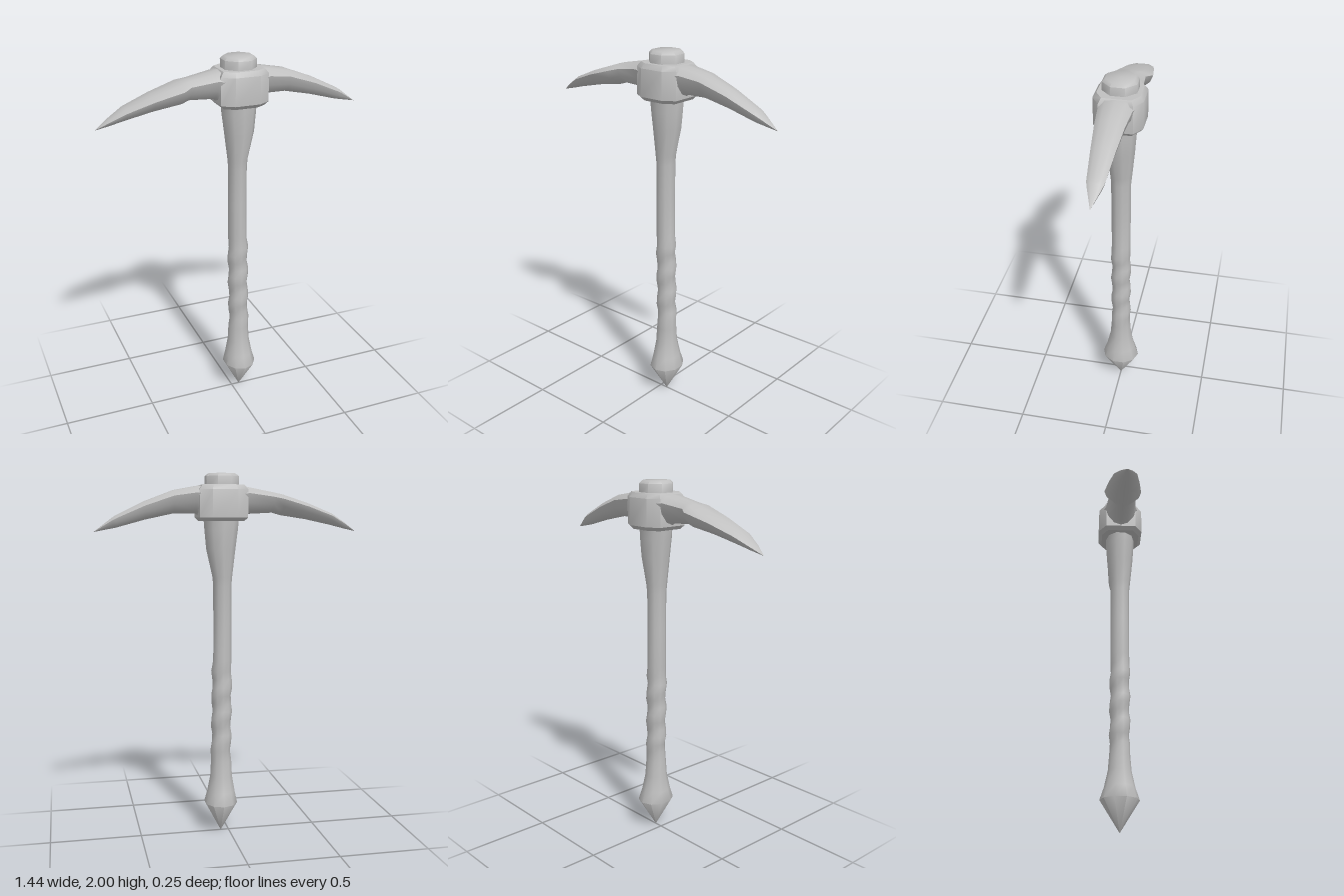
import * as THREE from 'three';
import { toCreasedNormals } from 'three/addons/utils/BufferGeometryUtils.js';

// Skin a list of rings (each an array of Vector3); a ring shrunk to a point closes the end.
function loft(rings, crease) {
  const n = rings[0].length, pos = [];
  const tri = (a, b, c) => {
    const area = b.clone().sub(a).cross(c.clone().sub(a)).length();
    if (area > 1e-9) for (const p of [a, b, c]) pos.push(p.x, p.y, p.z);
  };
  for (let i = 0; i < rings.length - 1; i++) {
    for (let j = 0; j < n; j++) {
      const k = (j + 1) % n;
      tri(rings[i][j], rings[i + 1][j], rings[i][k]);
      tri(rings[i][k], rings[i + 1][j], rings[i + 1][k]);
    }
  }
  const g = new THREE.BufferGeometry();
  g.setAttribute('position', new THREE.Float32BufferAttribute(pos, 3));
  return toCreasedNormals(g, crease);
}

// Round ring at height y, with an optional ripple of the radius
function roundRing(y, cx, rx, rz, n, ripple = () => 0) {
  return Array.from({ length: n }, (_, j) => {
    const a = ((j + 0.5) / n) * Math.PI * 2;
    const s = 1 / Math.cos(Math.PI / n / 2), d = rx > 0 ? ripple(a, y) : 0;
    return new THREE.Vector3(cx + Math.cos(a) * (rx * s + d), y, Math.sin(a) * (rz * s + d));
  });
}

// Arm cross-section: broad shoulders near the top, narrow keel below [width, height]
const half = [[0.6, 0.97], [1, 0.75], [0.85, 0.4], [0.45, 0.1]];
const section = [[0, 1], ...half, [0, 0], ...half.slice().reverse().map(([w, h]) => [-w, h])];

// Each station is [distance x, top y, bottom y, half width]
function armGeometry(stations, side) {
  const rings = stations.map(([x, top, bottom, w]) => section.map(([u, v]) =>
    new THREE.Vector3(x, bottom + (top - bottom) * v, -side * u * w)));
  return loft(rings, 0.9);
}

export function createModel() {
  const group = new THREE.Group();
  const grey = new THREE.MeshStandardMaterial({ color: 0xc0c0c0 });
  grey.name = 'plain grey';
  const add = (name, geometry) => {
    const mesh = new THREE.Mesh(geometry, grey);
    mesh.name = name;
    group.add(mesh);
  };

  // Handle: pointed pommel, wrapped grip, slim shaft, flared neck
  const wrap = (a, y) => (y > 0.45 && y < 0.96 ? 0.005 * Math.sin(a + y * 42) : 0);
  const handle = [[0.005, 0.045, 0, 0], [0.175, 0.045, 0.092, 0.104], [0.24, 0.043, 0.077, 0.082],
    [0.33, 0.042, 0.061, 0.062], [0.42, 0.042, 0.057, 0.055]];
  for (let y = 0.48; y < 0.95; y += 0.045) handle.push([y, 0.042 - (y - 0.48) * 0.012, 0.054, 0.053]);
  handle.push([0.99, 0.034, 0.05, 0.052], [1.2, 0.034, 0.049, 0.052], [1.4, 0.034, 0.049, 0.053],
    [1.45, 0.034, 0.053, 0.058], [1.6, 0.042, 0.079, 0.073], [1.7, 0.04, 0.09, 0.08],
    [1.78, 0.039, 0.097, 0.082], [1.78, 0.039, 0, 0]);
  add('handle', loft(handle.map(([y, cx, rx, rz]) => roundRing(y, cx, rx, rz, 10, wrap)), 0.9));

  // Collar: chamfered block around the top of the handle
  const outline = [[0.13, 0.085], [0.068, 0.125], [-0.068, 0.125], [-0.13, 0.085],
    [-0.13, -0.085], [-0.068, -0.125], [0.068, -0.125], [0.13, -0.085]];
  const collar = [[1.75, 0], [1.75, 0.86], [1.77, 1], [1.915, 1], [1.94, 0.86], [1.94, 0]];
  add('collar', loft(collar.map(([y, s]) =>
    outline.map(([x, z]) => new THREE.Vector3(0.04 + x * s, y, z * s))), 0.7));

  // Handle end standing above the collar
  const cap = [[1.92, 0.092], [1.985, 0.092], [2, 0.075], [2, 0]];
  add('handleTop', loft(cap.map(([y, r]) => roundRing(y, 0.037, r, r, 8)), 0.9));

  // Slender pick on the left
  add('leftPick', armGeometry([[0.08, 1.94, 1.75, 0.1], [0.14, 1.938, 1.757, 0.098], [0.18, 1.934, 1.79, 0.084],
    [0.3, 1.912, 1.79, 0.073], [0.45, 1.855, 1.758, 0.058], [0.6, 1.782, 1.717, 0.043],
    [0.62, 1.77, 1.713, 0.038], [0.72, 1.694, 1.694, 0]], 1));

  // Broader pick on the right, with a stepped shoulder
  add('rightPick', armGeometry([[0, 1.94, 1.75, 0.1], [-0.07, 1.938, 1.757, 0.098], [-0.1, 1.932, 1.788, 0.086],
    [-0.24, 1.905, 1.795, 0.074], [-0.285, 1.894, 1.782, 0.105], [-0.43, 1.848, 1.76, 0.085],
    [-0.57, 1.793, 1.73, 0.062], [-0.65, 1.744, 1.71, 0.034], [-0.72, 1.694, 1.694, 0]], -1));

  return group;
}
